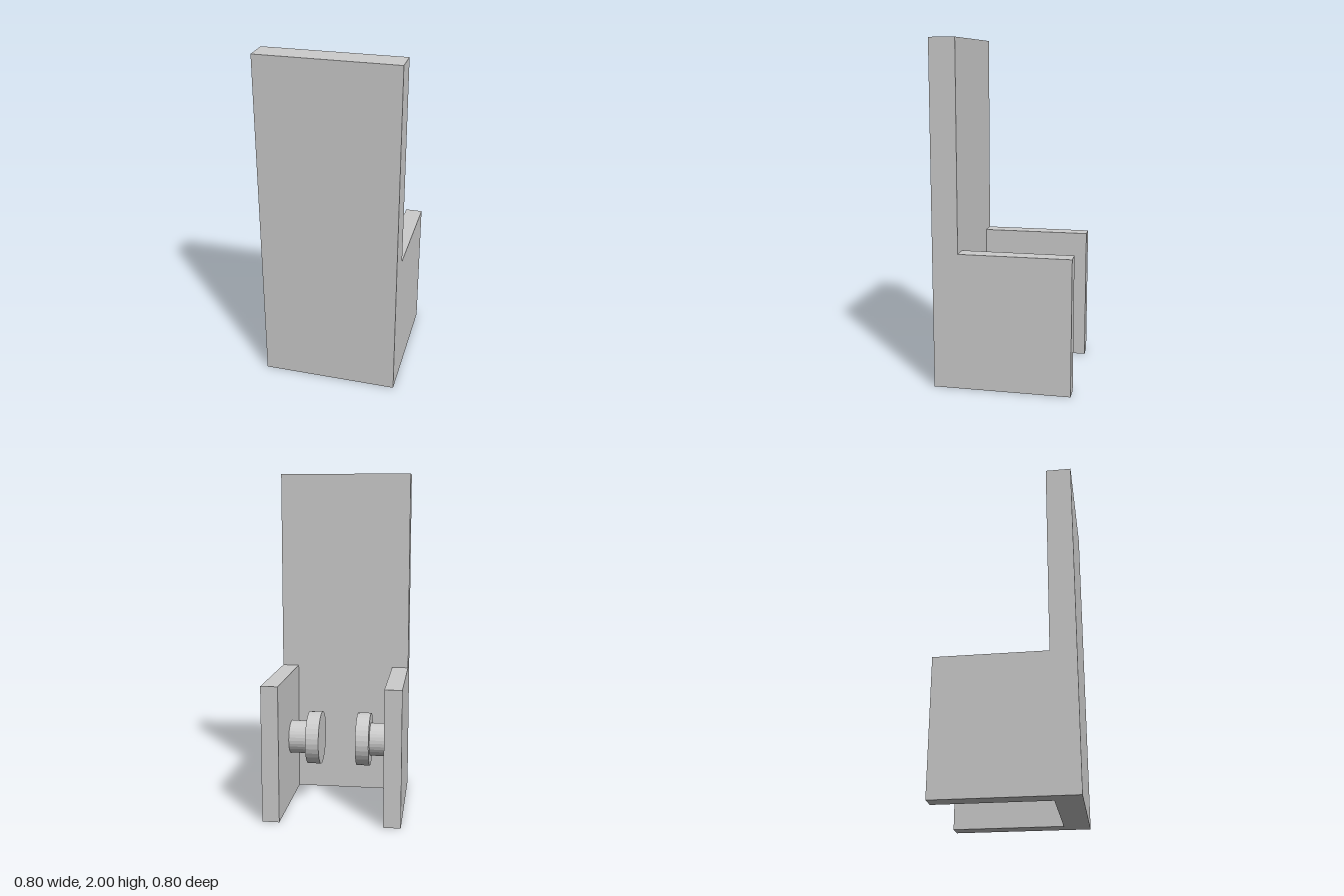
import * as THREE from 'three';

export function createModel() {
  const model = new THREE.Group();
  model.name = 'wallBracket';
  const grey = new THREE.MeshStandardMaterial({ color: 0xcccccc });
  grey.name = 'light grey';
  grey.flatShading = true;

  function add(geometry, name, x, y, z) {
    const mesh = new THREE.Mesh(geometry, grey);
    mesh.name = name;
    mesh.position.set(x, y, z);
    model.add(mesh);
  }

  // Tall front plate
  add(new THREE.BoxGeometry(0.8, 2, 0.15), 'frontPlate', 0, 1, 0.325);

  for (const [side, s] of [['left', 1], ['right', -1]]) {
    // Side wall running back from the plate
    add(new THREE.BoxGeometry(0.1, 0.8, 0.65), side + 'Wall', s * 0.35, 0.4, -0.075);
    // Inward peg with a wider round head
    add(new THREE.CylinderGeometry(0.1, 0.1, 0.11, 32).rotateZ(Math.PI / 2), side + 'Peg', s * 0.245, 0.4, 0);
    add(new THREE.CylinderGeometry(0.16, 0.16, 0.08, 32).rotateZ(Math.PI / 2), side + 'PegHead', s * 0.15, 0.4, 0);
  }
  return model;
}
